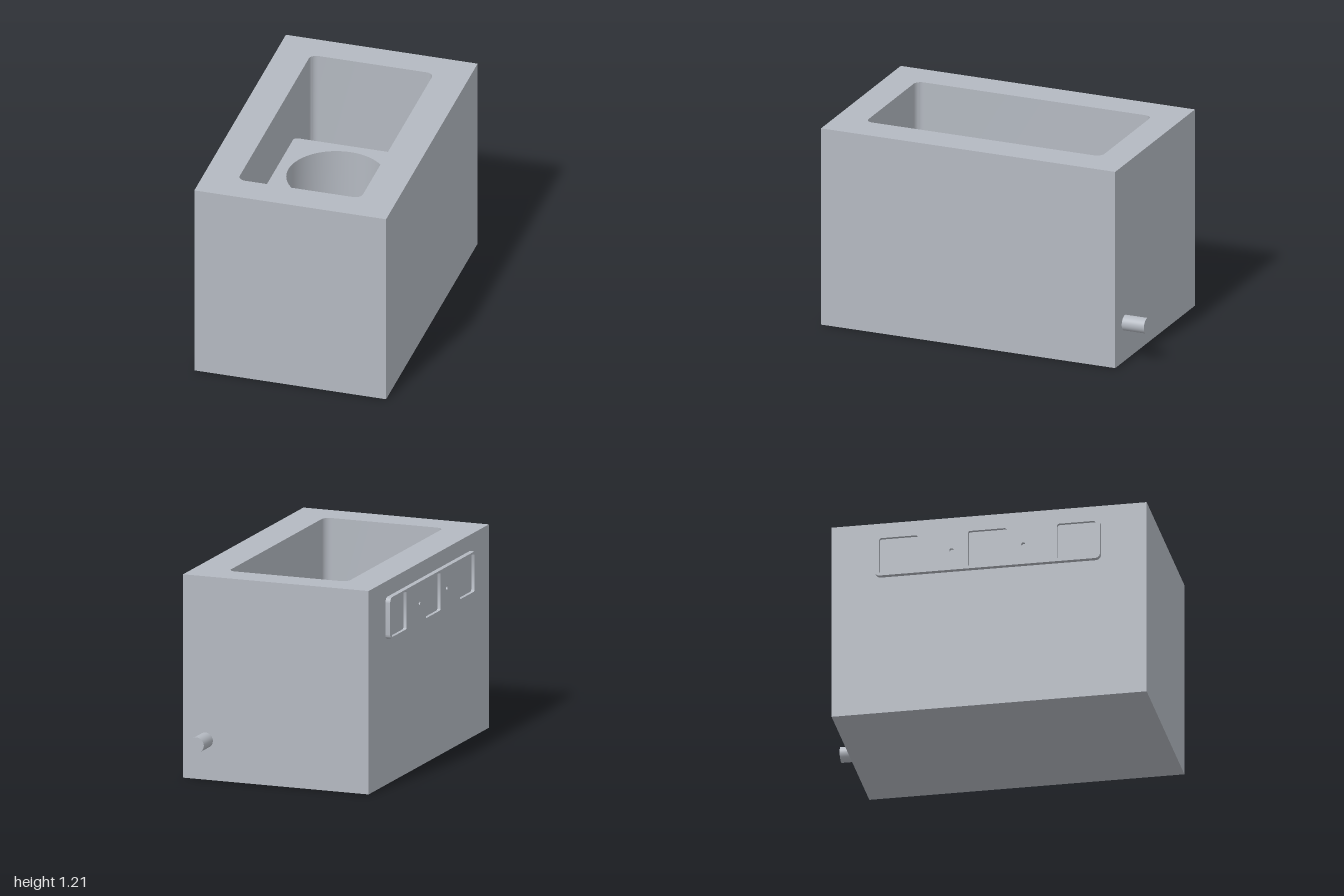
import * as THREE from 'three';
import { mergeGeometries, toCreasedNormals } from 'three/addons/utils/BufferGeometryUtils.js';

const grey = new THREE.MeshStandardMaterial({ color: 0xb4b9c1 });
grey.name = 'grey';

// Counter-clockwise outlines as point loops
function rect(u0, u1, v0, v1, r = 0) {
  const pts = [];
  const corners = [[u1 - r, v1 - r], [u0 + r, v1 - r], [u0 + r, v0 + r], [u1 - r, v0 + r]];
  const steps = r > 0 ? 8 : 0;
  corners.forEach(([u, v], k) => {
    for (let i = 0; i <= steps; i++) {
      const a = (k + (steps ? i / steps : 0)) * Math.PI / 2;
      pts.push(new THREE.Vector2(u + r * Math.cos(a), v + r * Math.sin(a)));
    }
  });
  return pts;
}

function circle(u, v, r, n = 64) {
  return Array.from({ length: n }, (_, i) => {
    const a = i / n * Math.PI * 2;
    return new THREE.Vector2(u + r * Math.cos(a), v + r * Math.sin(a));
  });
}

// Flat face looking along +z, with optional holes
function face(outline, z, holes = []) {
  const shape = new THREE.Shape(outline);
  shape.holes = holes.map((h) => new THREE.Path(h));
  const geo = new THREE.ShapeGeometry(shape).toNonIndexed();
  geo.deleteAttribute('uv');
  return geo.translate(0, 0, z);
}

// Upright wall along an outline; inward walls line a pocket
function wall(outline, z0, z1, inward = false) {
  const loop = inward ? [...outline].reverse() : outline;
  const pos = [];
  loop.forEach((a, i) => {
    const b = loop[(i + 1) % loop.length];
    pos.push(a.x, a.y, z0, b.x, b.y, z0, b.x, b.y, z1);
    pos.push(a.x, a.y, z0, b.x, b.y, z1, a.x, a.y, z1);
  });
  const geo = new THREE.BufferGeometry();
  geo.setAttribute('position', new THREE.Float32BufferAttribute(pos, 3));
  geo.computeVertexNormals();
  return toCreasedNormals(geo, 0.5);
}

function part(name, geometries) {
  const mesh = new THREE.Mesh(mergeGeometries(geometries), grey);
  mesh.name = name;
  return mesh;
}

export function createModel() {
  const model = new THREE.Group();
  model.name = 'tank';
  const floorY = 0.19, topY = 1.21;

  // Tank body with a deep rounded cavity (drawn in plan, v = -z)
  const outer = rect(-0.57, 0.59, -1, 0.86);
  const cavity = rect(-0.365, 0.38, -0.81, 0.68, 0.045);
  const underside = face(outer, 0).rotateX(Math.PI).translate(0, -0.14, 0);
  const body = part('body', [
    wall(outer, 0, topY), face(outer, topY, [cavity]), underside,
    wall(cavity, floorY, topY, true), face(cavity, floorY),
  ]);
  body.rotation.x = -Math.PI / 2;
  model.add(body);

  // Block standing in the cavity, with a stepped round well
  const blockTop = 0.875, stepY = 0.45, wellY = 0.25;
  const block = rect(-0.35, 0.37, -0.43, 0.29, 0.025);
  const well = circle(0.01, -0.065, 0.29);
  const drain = circle(0.01, -0.065, 0.14);
  const insert = part('wellBlock', [
    wall(block, floorY, blockTop), face(block, blockTop, [well]),
    wall(well, stepY, blockTop, true), face(well, stepY, [drain]),
    wall(drain, wellY, stepY, true), face(drain, wellY),
  ]);
  insert.rotation.x = -Math.PI / 2;
  model.add(insert);

  // Side panel with three square recesses and two small holes (u = z, v = y)
  const depth = 0.03, recessZ = 0.01;
  const plate = rect(-0.6, 0.73, 0.865, 1.115, 0.03);
  const pockets = [
    ...[-0.46, 0.065, 0.59].map((z) => rect(z - 0.113, z + 0.113, 0.877, 1.103, 0.012)),
    ...[-0.147, 0.277].map((z) => circle(z, 0.99, 0.012, 24)),
  ];
  const panel = part('sidePanel', [
    wall(plate, 0, depth), face(plate, depth, pockets),
    ...pockets.flatMap((p) => [wall(p, recessZ, depth, true), face(p, recessZ)]),
  ]);
  panel.rotation.y = -Math.PI / 2;
  panel.position.x = -0.57;
  model.add(panel);

  // Outlet pipe low on the back
  const pipe = new THREE.Mesh(new THREE.CylinderGeometry(0.046, 0.046, 0.14, 40), grey);
  pipe.name = 'outletPipe';
  pipe.rotation.x = Math.PI / 2;
  pipe.position.set(0.45, 0.235, -0.93);
  model.add(pipe);

  return model;
}
